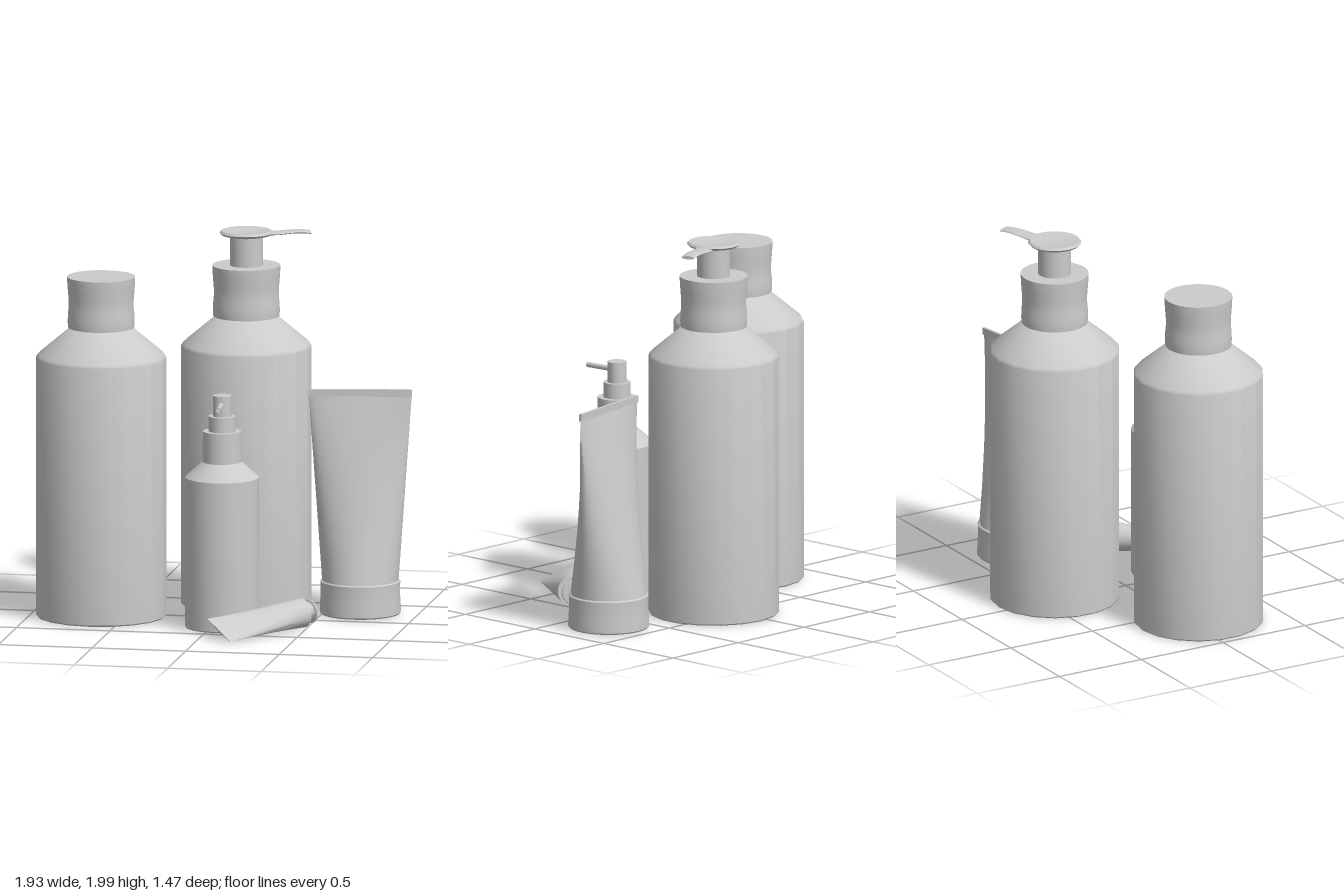
import * as THREE from 'three';
import { mergeVertices, toCreasedNormals } from 'three/addons/utils/BufferGeometryUtils.js';

const material = new THREE.MeshStandardMaterial({ color: 0xcccccc });
const { lerp } = THREE.MathUtils;

function add(parent, name, geometry) {
  const mesh = new THREE.Mesh(geometry, material);
  mesh.name = name;
  parent.add(mesh);
  return mesh;
}

function group(parent, name, x = 0, z = 0) {
  const g = new THREE.Group();
  g.name = name;
  g.position.set(x, 0, z);
  parent.add(g);
  return g;
}

// Turned part from [radius, height] pairs, listed bottom to top
function turned(parent, name, profile, sides = 40) {
  const points = profile.map(([r, y]) => new THREE.Vector2(r, y));
  return add(parent, name, toCreasedNormals(new THREE.LatheGeometry(points, sides), 0.5));
}

// Squeeze tube skin: round at y = 0, pressed flat along x at y = h
function squeezeSkin(radius, halfWidth, halfThick, h) {
  let geo = new THREE.CylinderGeometry(1, 1, h, 40, 8);
  geo.translate(0, h / 2, 0);
  const p = geo.attributes.position;
  for (let i = 0; i < p.count; i++) {
    const t = p.getY(i) / h;
    p.setX(i, p.getX(i) * lerp(radius, halfWidth, t));
    p.setZ(i, p.getZ(i) * lerp(radius, halfThick, t));
  }
  geo.deleteAttribute('uv');
  geo.deleteAttribute('normal');
  geo = mergeVertices(geo);
  return toCreasedNormals(geo, 0.7);
}

// Large bottle with a gently waisted cap
function largeBottle(parent, name, x, z) {
  const g = group(parent, name, x, z);
  turned(g, 'bottleBody', [[0, 0.005], [0.338, 0.005], [0.343, 0.012], [0.343, 1.385],
    [0.335, 1.4], [0.168, 1.54], [0.155, 1.545], [0.155, 1.58], [0, 1.58]], 18);
  turned(g, 'bottleCap', [[0, 1.545], [0.174, 1.545], [0.176, 1.57], [0.175, 1.61], [0.171, 1.65],
    [0.171, 1.69], [0.175, 1.74], [0.178, 1.78], [0.179, 1.815], [0, 1.815]]);
  return g;
}

// Pump stem, dished press plate and flattened spout
function pumpHead(parent) {
  const g = group(parent, 'pumpHead');
  turned(g, 'pumpStem', [[0.087, 1.81], [0.087, 1.975], [0, 1.975]]);
  turned(g, 'pressPlate', [[0, 1.965], [0.09, 1.968], [0.13, 1.977], [0.14, 1.988],
    [0.131, 1.999], [0.1, 1.996], [0.05, 1.989], [0, 1.988]]);
  const geo = new THREE.CylinderGeometry(1, 1, 1, 20, 12).rotateZ(-Math.PI / 2);
  const p = geo.attributes.position;
  for (let i = 0; i < p.count; i++) {
    const t = p.getX(i) + 0.5;
    const y = 1.985 - 0.004 * Math.sin(2 * Math.PI * t) - 0.004 * t * t;
    p.setXYZ(i, 0.08 + 0.26 * t, y + p.getY(i) * 0.009, p.getZ(i) * lerp(0.052, 0.036, t));
  }
  add(g, 'pumpSpout', toCreasedNormals(geo, 0.8));
  g.rotation.y = 0.35;
}

// Small spray bottle with stepped collar and thin nozzle
function sprayBottle(parent) {
  const g = group(parent, 'sprayBottle', 0.06, 0.295);
  turned(g, 'sprayBody', [[0, 0.01], [0.191, 0.01], [0.195, 0.016], [0.195, 0.81],
    [0.11, 0.885], [0.1, 0.893], [0, 0.893]], 24);
  turned(g, 'sprayCollar', [[0, 0.892], [0.103, 0.892], [0.101, 1.055], [0, 1.055]]);
  turned(g, 'sprayNeck', [[0.071, 1.05], [0.071, 1.135], [0, 1.135]]);
  turned(g, 'sprayButton', [[0.049, 1.13], [0.049, 1.245], [0, 1.245]]);
  const nozzle = turned(g, 'sprayNozzle', [[0, 0.03], [0.014, 0.03], [0.014, 0.196],
    [0.007, 0.196], [0.007, 0.17], [0, 0.17]], 16);
  nozzle.rotation.set(Math.PI / 2, 0.09, 0, 'YXZ');
  nozzle.position.y = 1.2;
}

// Squeeze tube standing on its cap
function standingTube(parent) {
  const g = group(parent, 'standingTube', 0.695, -0.247);
  g.rotation.y = 0.175;
  turned(g, 'tubeCap', [[0, 0.008], [0.208, 0.008], [0.213, 0.015], [0.212, 0.06],
    [0.208, 0.12], [0.21, 0.18], [0.203, 0.186], [0, 0.186]]);
  add(g, 'tubeSkin', squeezeSkin(0.201, 0.27, 0.008, 0.98)).position.y = 0.185;
  add(g, 'tubeCrimp', new THREE.BoxGeometry(0.544, 0.038, 0.016)).position.y = 1.181;
}

// Small tube lying down, its flat end tipped to touch the ground
function lyingTube(parent) {
  const g = group(parent, 'lyingTube');
  const neck = new THREE.Vector3(0.474, 0.086, 0.224);
  const flatEnd = new THREE.Vector3(0.113, 0.06, 0.674);
  const axis = flatEnd.clone().sub(neck);
  const length = axis.length();
  axis.normalize();
  const across = new THREE.Vector3(0.147, -0.1, 0.113);
  across.addScaledVector(axis, -across.dot(axis)).normalize();
  const normal = across.clone().cross(axis);
  g.quaternion.setFromRotationMatrix(new THREE.Matrix4().makeBasis(across, axis, normal));
  g.position.copy(neck);
  add(g, 'smallTubeSkin', squeezeSkin(0.078, 0.105, 0.003, length));
  turned(g, 'smallTubeCap', [[0, -0.058], [0.06, -0.058], [0.063, -0.054], [0.063, -0.047],
    [0.05, -0.042], [0.044, -0.025], [0.046, 0.005], [0, 0.005]], 32);
}

export function createModel() {
  const model = new THREE.Group();
  model.name = 'toiletrySet';
  largeBottle(model, 'cappedBottle', -0.63, 0.069);
  pumpHead(largeBottle(model, 'pumpBottle', 0.056, -0.401));
  sprayBottle(model);
  standingTube(model);
  lyingTube(model);
  return model;
}
